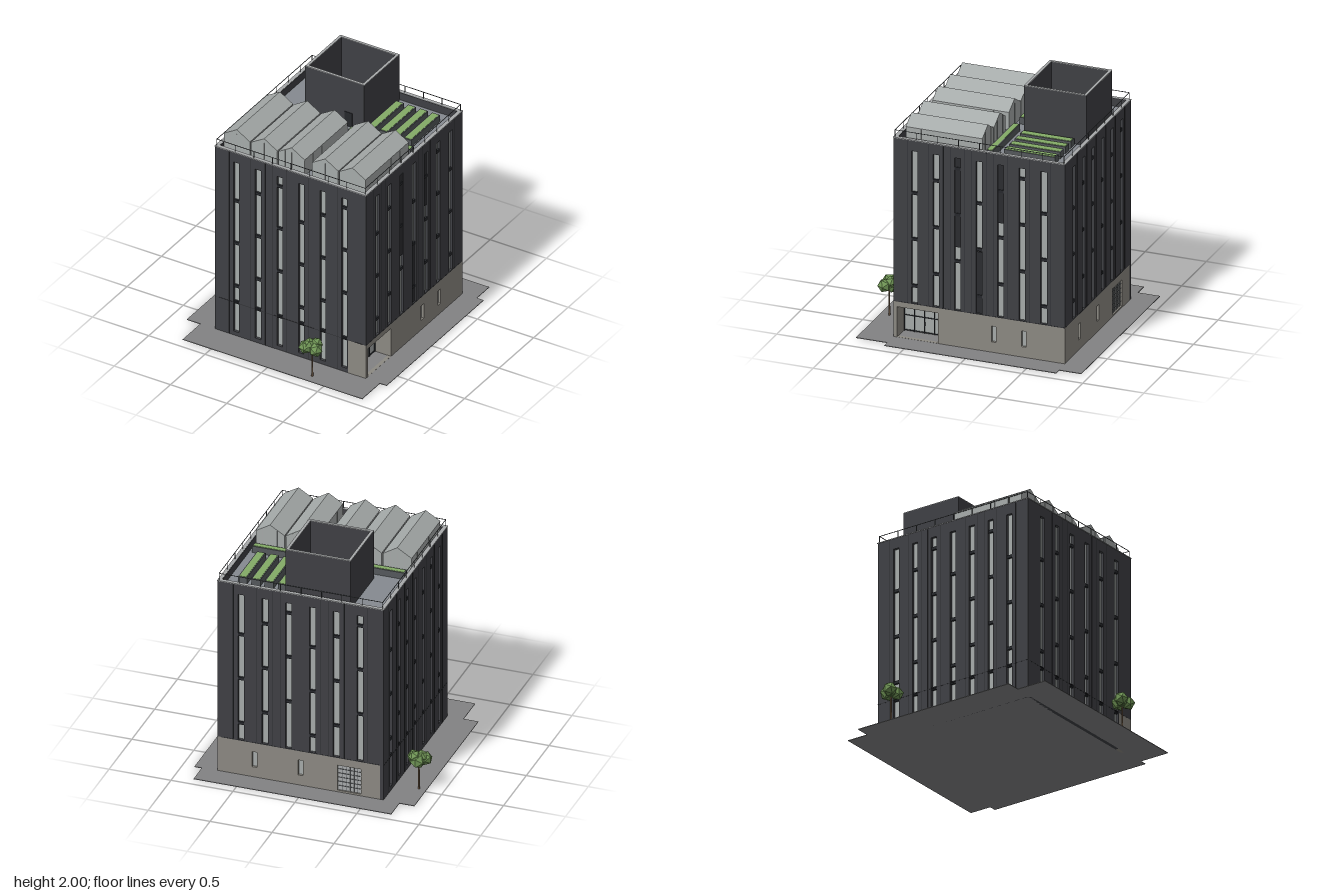
import * as THREE from 'three';

const C = {
  clad: 0x3f4044, seam: 0x2b2c30, bar: 0x26282c, glass: 0xa6abaa, stone: 0x8c8982, pave: 0x828283,
  deck: 0x858a90, metal: 0xa8aaab, frame: 0x55595c, plant: 0x83ab66, leaf: 0x6f9455, trunk: 0x77604a,
};
const mats = {};
const mat = (c, flat = false) => (mats[c + '' + flat] ??= new THREE.MeshStandardMaterial({ color: c, flatShading: flat }));

function add(parent, name, geo, color, flat) {
  const m = new THREE.Mesh(geo, mat(color, flat));
  m.name = name;
  parent.add(m);
  return m;
}
// box from its bounds
function box(parent, name, color, x0, x1, y0, y1, z0, z1) {
  const m = add(parent, name, new THREE.BoxGeometry(x1 - x0, y1 - y0, z1 - z0), color);
  m.position.set((x0 + x1) / 2, (y0 + y1) / 2, (z0 + z1) / 2);
  return m;
}
const poly = (pts) => new THREE.Shape(pts.map((p) => new THREE.Vector2(...p)));
const rect = (x0, x1, y0, y1) => [[x0, y0], [x1, y0], [x1, y1], [x0, y1]];
const extrude = (shape, depth) => new THREE.ExtrudeGeometry(shape, { depth, bevelEnabled: false });

// upright panel with rectangular openings
function panel(parent, name, color, pts, holes, z0, depth) {
  const s = poly(pts);
  holes.forEach((h) => s.holes.push(poly(rect(...h))));
  add(parent, name, extrude(s, depth), color).position.z = z0;
}
// rectangular ring lying flat, wall thickness t, from y0 to y1
function ring(parent, name, color, x0, x1, z0, z1, t, y0, y1) {
  const s = poly(rect(x0, x1, -z1, -z0));
  s.holes.push(poly(rect(x0 + t, x1 - t, -z1 + t, -z0 - t)));
  const g = extrude(s, y1 - y0).rotateX(-Math.PI / 2);
  add(parent, name, g, color).position.y = y0;
}

const T = 0.03, TOP = 1.65, DECK = 1.585, BASE = 0.3, SLIT_TOP = 1.56;
const BARS = [[1.21, 0.83, 0.445], [1.34, 0.955, 0.57], [1.47, 1.09, 0.705]];

// one facade: cladding, slit windows with staggered bars, optional stone base
function facade(root, { name, turn, dist, half, count, pitch, stone, openings = [], notch, blanks = {} }) {
  const g = new THREE.Group();
  g.name = name;
  g.position.set(0.05, 0, -0.04);
  g.rotation.y = turn;
  root.add(g);
  const y0 = stone ? BASE : 0, slit0 = stone ? BASE + 0.005 : 0.04, w = 0.025;
  const cols = Array.from({ length: count }, (_, i) => (i - (count - 1) / 2) * pitch);
  const outline = notch
    ? [[-half, 0], [notch, 0], [notch, BASE], [half, BASE], [half, TOP], [-half, TOP]]
    : rect(-half, half, y0, TOP);
  panel(g, 'cladding', C.clad, outline, cols.map((u) => [u - w, u + w, slit0, SLIT_TOP]), dist - T, T);
  if (stone) panel(g, 'stoneBase', C.stone, rect(-half, half, 0, BASE), openings, dist - T, T);
  if (notch) box(g, 'stoneCorner', C.stone, notch, half, 0, BASE, dist - T, dist);

  cols.forEach((u, i) => {
    box(g, 'slitWindow', C.glass, u - w - 0.005, u + w + 0.005, slit0 - 0.004, SLIT_TOP + 0.005, dist - T - 0.005, dist - 0.022);
    const bars = stone ? BARS[i % 3] : [...BARS[i % 3], BASE];
    bars.forEach((y) => box(g, 'windowBar', C.bar, u - w, u + w, y - 0.012, y + 0.012, dist - 0.028, dist - 0.006));
    if (blanks[i]) box(g, 'blindPanel', C.seam, u - w, u + w, ...blanks[i], dist - 0.028, dist - 0.012);
    // cladding joints on both sides of each slit
    [-1, 1].forEach((s) => {
      const x = u + s * pitch / 3;
      box(g, 'claddingJoint', C.seam, x - 0.0012, x + 0.0012, y0 + 0.005, TOP - 0.01, dist - 0.01, dist + 0.0008);
    });
  });
  box(g, 'floorJoint', C.seam, -half, half, BASE - 0.002, BASE + 0.002, dist - 0.02, dist + 0.001);
  return g;
}

function entrance(root) {
  const g = new THREE.Group();
  g.name = 'entrance';
  root.add(g);
  box(g, 'recessSide', C.stone, 0.56, 0.69, 0.005, 0.27, 0.28, 0.295);
  box(g, 'recessCeiling', C.stone, 0.56, 0.69, 0.255, 0.27, 0.28, 0.63);
  box(g, 'entranceGlass', C.glass, 0.568, 0.575, 0.005, 0.256, 0.29, 0.635);
  for (let i = 0; i < 5; i++) {
    const z = 0.299 + i * 0.0818;
    box(g, 'mullion', C.bar, 0.575, 0.583, 0.005, 0.255, z - 0.003, z + 0.003);
  }
  [0.012, 0.135, 0.25].forEach((y) => box(g, 'transom', C.bar, 0.575, 0.582, y - 0.003, y + 0.003, 0.295, 0.63));
  box(g, 'doorHandle', C.bar, 0.583, 0.592, 0.07, 0.1, 0.452, 0.457);
}

function greenhouse(root, cx) {
  const g = new THREE.Group();
  g.name = 'greenhouse';
  g.position.x = cx;
  root.add(g);
  const h = 0.115, eave = 1.73, ridge = 1.8, z0 = -0.045, z1 = 0.58;
  const gable = poly([[-h, DECK], [h, DECK], [h, eave], [0, ridge], [-h, eave]]);
  add(g, 'greenhouseShell', extrude(gable, z1 - z0), C.glass).position.z = z0;
  [-1, 1].forEach((s) => box(g, 'eaveRail', C.metal, s * h - 0.002, s * h + 0.002, eave - 0.005, eave, z0, z1));
  // glazing bars on the gables and side walls
  [-0.057, 0, 0.057].forEach((x) => box(g, 'gableBar', C.metal, x - 0.0015, x + 0.0015, DECK, eave + 0.03, z0 - 0.002, z1 + 0.002));
  for (let z = z0 + 0.125; z < z1 - 0.05; z += 0.125) box(g, 'sideBar', C.metal, -h - 0.002, h + 0.002, DECK, eave, z - 0.0015, z + 0.0015);
}

function planter(root, x0, x1, z0, z1) {
  ring(root, 'planterBox', C.frame, x0, x1, z0, z1, 0.008, DECK, 1.64);
  box(root, 'planterCrop', C.plant, x0 + 0.008, x1 - 0.008, DECK, 1.643, z0 + 0.008, z1 - 0.008);
}

function railing(root, x0, x1, z0, z1) {
  const g = new THREE.Group();
  g.name = 'railing';
  root.add(g);
  const r = 0.002, y = 1.71;
  ring(g, 'handrail', C.frame, x0 - r, x1 + r, z0 - r, z1 + r, 2 * r, y - 0.004, y);
  const post = (x, z) => box(g, 'railPost', C.frame, x - r, x + r, TOP, y - 0.004, z - r, z + r);
  const n = 8;
  for (let i = 0; i < n; i++) {
    const x = x0 + (x1 - x0) * i / n, z = z0 + (z1 - z0) * i / n;
    post(x, z0); post(x1 - (x - x0), z1); post(x0, z1 - (z - z0)); post(x1, z);
  }
}

function tower(root) {
  const g = new THREE.Group();
  g.name = 'roofTower';
  root.add(g);
  ring(g, 'towerWalls', C.clad, -0.34, 0.185, -0.7, -0.19, 0.022, DECK, 1.995);
  ring(g, 'towerCoping', C.metal, -0.34, 0.185, -0.7, -0.19, 0.022, 1.995, 2);
  box(g, 'towerDoor', C.bar, 0.01, 0.08, DECK, 1.71, -0.195, -0.187);
  box(g, 'airUnit', C.metal, -0.27, -0.09, DECK, 1.67, -0.545, -0.43);
  add(g, 'airUnitFan', new THREE.CylinderGeometry(0.033, 0.033, 0.015, 20), C.frame).position.set(-0.18, 1.677, -0.487);
  [-0.525, -0.388].forEach((z) => add(g, 'tank', new THREE.CylinderGeometry(0.042, 0.042, 0.12, 20), C.metal).position.set(0.055, DECK + 0.06, z));
  box(g, 'controlBox', C.frame, -0.21, -0.07, DECK, 1.65, -0.327, -0.282);
}

function tree(root, x, z) {
  const g = new THREE.Group();
  g.name = 'tree';
  g.position.set(x, 0, z);
  root.add(g);
  add(g, 'trunk', new THREE.CylinderGeometry(0.006, 0.008, 0.24, 8), C.trunk).position.y = 0.122;
  [[0, 0.262, -0.03, 0.062], [-0.045, 0.265, 0.022, 0.056], [0.045, 0.265, 0.02, 0.056], [0.022, 0.288, -0.025, 0.052], [-0.022, 0.285, 0.005, 0.052]]
    .forEach(([bx, by, bz, r], i) => {
      const m = add(g, 'foliage', new THREE.IcosahedronGeometry(r, 0), C.leaf, true);
      m.position.set(bx, by, bz);
      m.rotation.y = i * 1.3;
    });
}

export function createModel() {
  const root = new THREE.Group();
  root.name = 'building';

  // paving with notched corners
  const pave = poly([[-0.75, -0.915], [0.845, -0.915], [0.845, -0.66], [0.905, -0.66], [0.905, 0.745], [0.845, 0.745],
    [0.845, 0.925], [-0.75, 0.925], [-0.75, 0.745], [-0.87, 0.745], [-0.87, -0.66], [-0.75, -0.66]]);
  add(root, 'paving', extrude(pave, 0.005).rotateX(-Math.PI / 2), C.pave);

  // facades
  const long = { dist: 0.7, half: 0.64, count: 6, pitch: 0.192 };
  const side = { dist: 0.67, half: 0.7, count: 7, pitch: 0.176 };
  facade(root, { name: 'frontFacade', turn: 0, ...long, notch: 0.51 });
  facade(root, { name: 'rightFacade', turn: Math.PI / 2, ...side, stone: true,
    openings: [[-0.67, -0.335, 0.006, 0.255], [0.1, 0.14, 0.09, 0.22], [0.345, 0.385, 0.09, 0.22]],
    blanks: { 2: [0.82, SLIT_TOP], 3: [0.305, 0.81], 4: [1.075, SLIT_TOP] } });
  const back = facade(root, { name: 'backFacade', turn: Math.PI, ...long, stone: true,
    openings: [[-0.39, -0.35, 0.09, 0.22], [-0.02, 0.02, 0.09, 0.22], [0.3, 0.49, 0.02, 0.235]] });
  facade(root, { name: 'leftFacade', turn: -Math.PI / 2, ...side });

  // small ground floor windows and the rear grille door
  [-0.16, -0.405].forEach((z) => box(root, 'smallWindow', C.glass, 0.685, 0.7, 0.085, 0.225, z - 0.025, z + 0.025));
  [-0.37, 0].forEach((u) => box(back, 'smallWindow', C.glass, u - 0.025, u + 0.025, 0.085, 0.225, 0.665, 0.68));
  box(back, 'grilleDoor', C.metal, 0.295, 0.495, 0.015, 0.24, 0.665, 0.688);
  for (let i = 1; i < 6; i++) {
    box(back, 'grilleBar', C.frame, 0.3, 0.49, 0.02 + i * 0.036, 0.023 + i * 0.036, 0.688, 0.693);
    box(back, 'grilleBar', C.frame, 0.3 + i * 0.0317, 0.303 + i * 0.0317, 0.02, 0.235, 0.688, 0.692);
  }
  entrance(root);

  // roof
  box(root, 'roofDeck', C.deck, -0.6, 0.7, DECK - 0.02, DECK, -0.72, 0.64);
  ring(root, 'parapetCoping', C.metal, -0.623, 0.723, -0.743, 0.663, 0.03, TOP - 0.004, TOP + 0.002);
  railing(root, -0.61, 0.71, -0.73, 0.65);
  [-0.475, -0.232, 0.012, 0.31, 0.552].forEach((x) => greenhouse(root, x));
  [[-0.565, -0.01], [0.11, 0.665]].forEach(([a, b]) => planter(root, a, b, -0.13, -0.075));
  for (let i = 0; i < 4; i++) planter(root, 0.21 + i * 0.107, 0.28 + i * 0.107, -0.612, -0.195);
  tower(root);

  tree(root, -0.81, -0.48);
  tree(root, 0.355, 0.84);
  return root;
}
